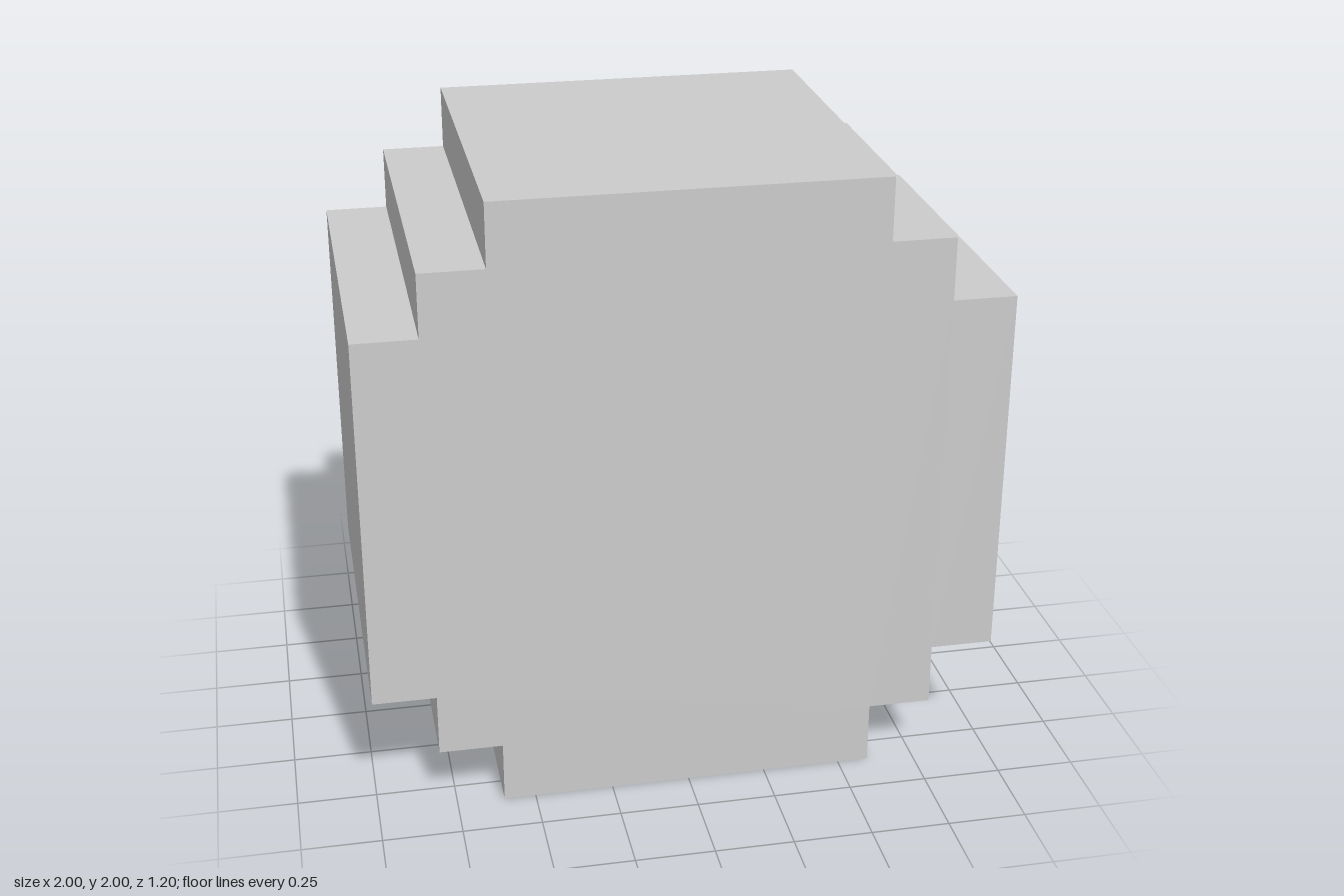
import * as THREE from 'three';

export function createModel() {
  const group = new THREE.Group();
  group.name = 'steppedBlock';

  // One corner of the stepped outline, from the right side up to the top
  const corner = [[1, 0.6], [0.8, 0.6], [0.8, 0.8], [0.6, 0.8], [0.6, 1]];
  const outline = [];

  // Turn the corner a quarter at a time to close the outline counter-clockwise
  for (let q = 0; q < 4; q++) {
    for (const [x, y] of corner) {
      const [px, py] = [[x, y], [-y, x], [-x, -y], [y, -x]][q];
      outline.push(new THREE.Vector2(px, py + 1));
    }
    // The last step of each corner ends on the flat side
    const [ex, ey] = [[0.6, 1], [-1, 0.6], [-0.6, -1], [1, -0.6]][q];
    outline[outline.length - 1].set(ex, ey + 1);
  }

  // Solid block, 1.2 deep and centred on z
  const depth = 1.2;
  const geometry = new THREE.ExtrudeGeometry(new THREE.Shape(outline), { depth, bevelEnabled: false });
  geometry.translate(0, 0, -depth / 2);

  const body = new THREE.Mesh(
    geometry,
    new THREE.MeshStandardMaterial({ color: 0xcccccc, flatShading: true })
  );
  body.name = 'body';
  group.add(body);
  return group;
}
